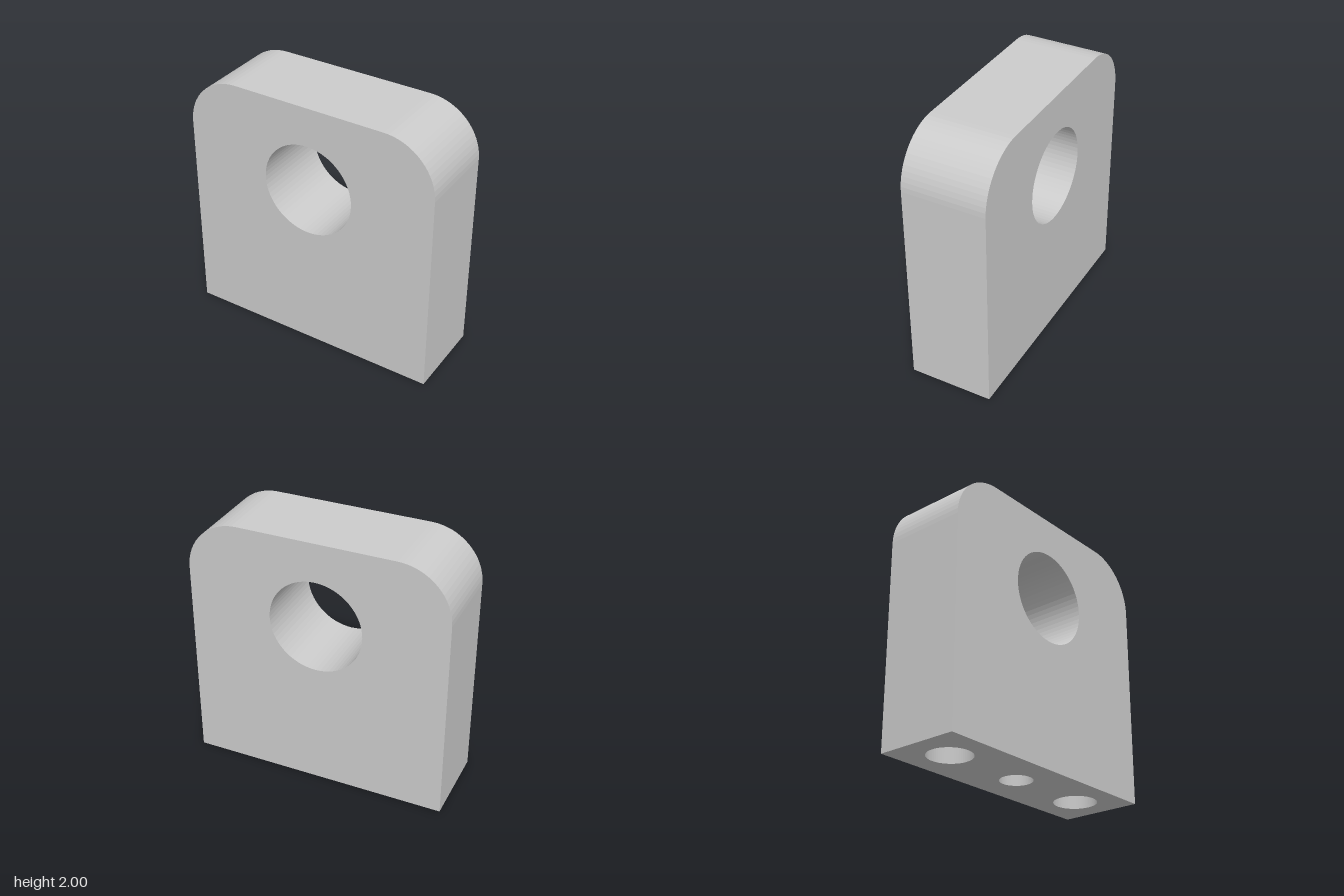
import * as THREE from 'three';

const W = 2, H = 2, D = 0.64, CORNER = 0.4;

// Full circle in quarter arcs, so its facets match the rounded corners
function circlePath(x, y, r) {
  const path = new THREE.Path();
  for (let i = 0; i < 4; i++) {
    path.absarc(x, y, r, -i * Math.PI / 2, -(i + 1) * Math.PI / 2, true);
  }
  return path;
}

// Removes the flat underside, which is replaced by a drilled face
function withoutUnderside(geometry) {
  const source = geometry.index ? geometry.toNonIndexed() : geometry;
  const p = source.attributes.position;
  const kept = [];
  for (let i = 0; i < p.count; i += 3) {
    if (Math.max(p.getY(i), p.getY(i + 1), p.getY(i + 2)) < 1e-5) continue;
    for (let k = i; k < i + 3; k++) kept.push(p.getX(k), p.getY(k), p.getZ(k));
  }
  const result = new THREE.BufferGeometry();
  result.setAttribute('position', new THREE.Float32BufferAttribute(kept, 3));
  result.computeVertexNormals();
  return result;
}

export function createModel() {
  const group = new THREE.Group();
  group.name = 'mountingBlock';
  const outer = new THREE.MeshStandardMaterial({ color: 0xcccccc, flatShading: true });
  const inner = new THREE.MeshStandardMaterial({ color: 0xcccccc, flatShading: true, side: THREE.BackSide });

  const add = (name, geometry, material) => {
    const mesh = new THREE.Mesh(geometry, material);
    mesh.name = name;
    group.add(mesh);
    return mesh;
  };

  // Upright block with rounded top corners and a cross bore
  const outline = new THREE.Shape();
  outline.moveTo(-W / 2, 0);
  outline.lineTo(W / 2, 0);
  outline.lineTo(W / 2, H - CORNER);
  outline.absarc(W / 2 - CORNER, H - CORNER, CORNER, 0, Math.PI / 2, false);
  outline.lineTo(-W / 2 + CORNER, H);
  outline.absarc(-W / 2 + CORNER, H - CORNER, CORNER, Math.PI / 2, Math.PI, false);
  outline.closePath();
  outline.holes.push(circlePath(0, 1.34, 0.36));
  const block = new THREE.ExtrudeGeometry(outline, { depth: D, bevelEnabled: false, curveSegments: 8 });
  block.translate(0, 0, -D / 2);
  add('block', withoutUnderside(block), outer);

  // Blind holes drilled up from the underside
  const holes = [
    { name: 'leftMountingHole', x: 0.68, r: 0.164, depth: 0.65 },
    { name: 'centreHole', x: 0, r: 0.122, depth: 0.5 },
    { name: 'rightMountingHole', x: -0.68, r: 0.164, depth: 0.65 },
  ];

  // Underside with openings for the holes
  const base = new THREE.Shape([
    new THREE.Vector2(-W / 2, -D / 2), new THREE.Vector2(W / 2, -D / 2),
    new THREE.Vector2(W / 2, D / 2), new THREE.Vector2(-W / 2, D / 2),
  ]);
  for (const h of holes) base.holes.push(circlePath(h.x, 0, h.r));
  add('underside', new THREE.ShapeGeometry(base, 8).rotateX(Math.PI / 2), outer);

  // Hole walls and flat hole ends
  for (const h of holes) {
    const wall = new THREE.CylinderGeometry(h.r, h.r, h.depth, 64, 1, true);
    add(h.name + 'Wall', wall, inner).position.set(h.x, h.depth / 2, 0);
    const end = new THREE.CircleGeometry(h.r, 64).rotateX(Math.PI / 2);
    add(h.name + 'End', end, outer).position.set(h.x, h.depth, 0);
  }
  return group;
}
